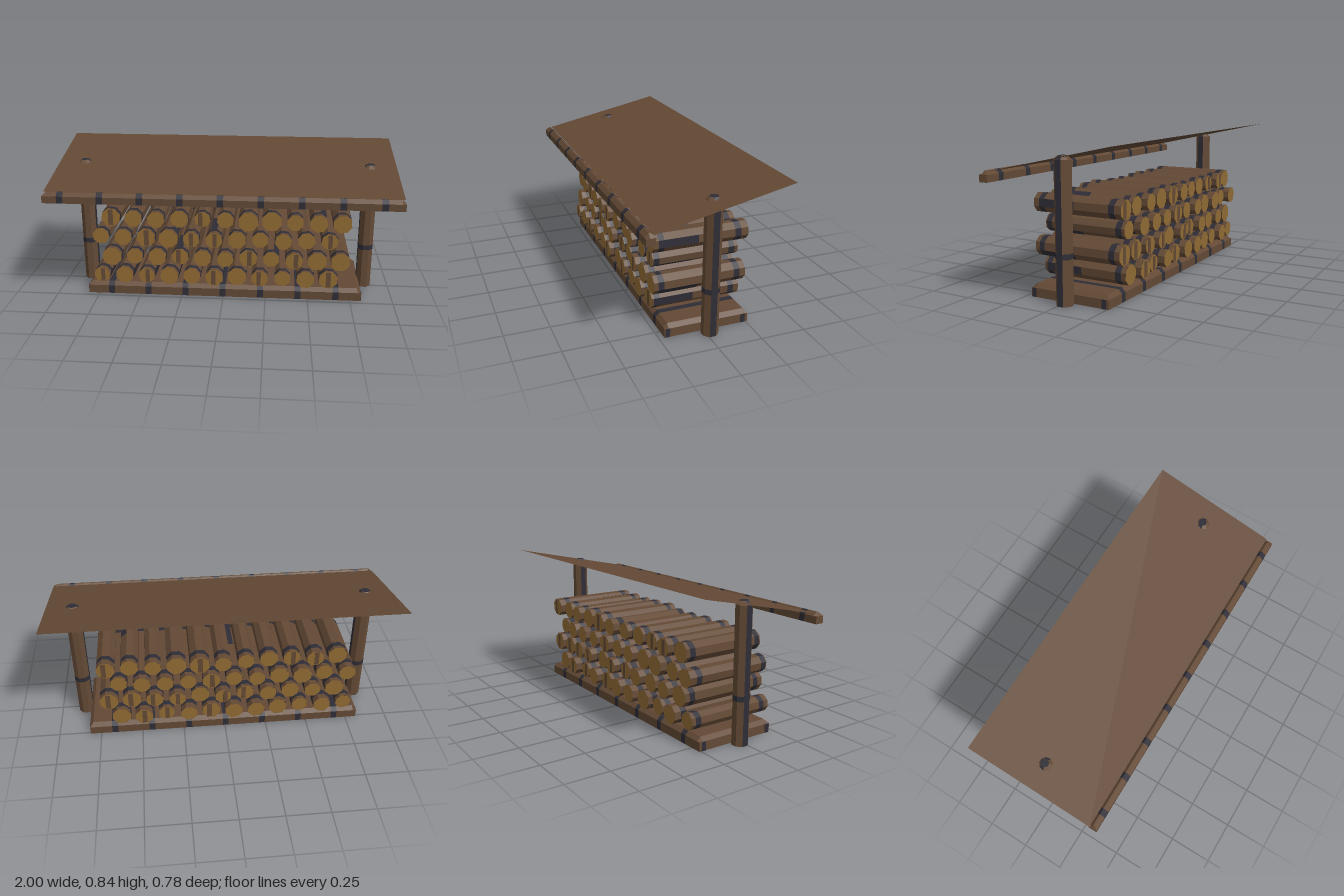
import * as THREE from 'three';

const brown = new THREE.MeshStandardMaterial({ color: 0x634935, flatShading: true, side: THREE.DoubleSide });
brown.name = 'bark brown';
const dark = new THREE.MeshStandardMaterial({ color: 0x2e2d36, flatShading: true, side: THREE.DoubleSide });
dark.name = 'dark slate';
const tan = new THREE.MeshStandardMaterial({ color: 0x906a33, flatShading: true });
tan.name = 'cut wood';

const MID = -0.02; // depth centre of base, posts and logs

let seed = 7;
const rand = () => (seed = (seed * 16807) % 2147483647) / 2147483647;

function add(parent, name, geometry, material, x = 0, y = 0, z = 0) {
  const mesh = new THREE.Mesh(geometry, material);
  mesh.name = name;
  mesh.position.set(x, y, z);
  parent.add(mesh);
  return mesh;
}

// Geometry from a list of four-cornered faces
function quads(list) {
  const pos = [];
  for (const [a, b, c, d] of list) pos.push(...a, ...b, ...c, ...a, ...c, ...d);
  const g = new THREE.BufferGeometry();
  g.setAttribute('position', new THREE.Float32BufferAttribute(pos, 3));
  g.computeVertexNormals();
  return g;
}

// Beam with chamfered top and open underside, crossed by dark bands
function bandedBeam(name, halfX, halfZ, wall, height, chamfer, bands) {
  const group = new THREE.Group();
  group.name = name;
  const section = (x, top) => [
    [x, 0, halfZ], [x, wall, halfZ], [x, top, halfZ - chamfer],
    [x, top, chamfer - halfZ], [x, wall, -halfZ], [x, 0, -halfZ]];
  const inner = halfX - chamfer;
  const cuts = [-inner];
  for (let k = -bands; k <= bands; k++) {
    const x = k * 0.2235 - 0.005;
    cuts.push(x - 0.018, x + 0.018);
  }
  cuts.push(inner);
  const sections = [section(-halfX, wall), ...cuts.map(x => section(x, height)), section(halfX, wall)];
  const plain = [], banded = [];
  for (let i = 0; i < sections.length - 1; i++) {
    const s = sections[i], t = sections[i + 1];
    const isBand = i >= 2 && i < sections.length - 2 && i % 2 === 0;
    for (let j = 0; j < 5; j++) (isBand ? banded : plain).push([s[j], t[j], t[j + 1], s[j + 1]]);
  }
  const e = sections[sections.length - 1], f = sections[0];
  plain.push([e[0], e[5], e[4], e[1]], [f[5], f[0], f[1], f[4]]);
  add(group, name + 'Wood', quads(plain), brown);
  add(group, name + 'Bands', quads(banded), dark);
  return group;
}

// Eight-sided column whose two side facets are dark
function column(rTop, rBottom, height) {
  const g = new THREE.CylinderGeometry(rTop, rBottom, height, 8, 1, true, Math.PI / 8);
  g.clearGroups();
  for (let k = 0; k < 8; k++) g.addGroup(k * 6, 6, k === 1 || k === 5 ? 1 : 0);
  return g;
}

function post(side) {
  const group = new THREE.Group();
  group.name = side > 0 ? 'leftPost' : 'rightPost';
  group.position.set(side * 0.85, 0, MID);
  add(group, 'postShaft', column(0.0465, 0.0465, 0.75), [brown, dark], 0, 0.375);
  add(group, 'postChamfer', column(0.025, 0.0465, 0.02), [brown, dark], 0, 0.76);
  for (const [y, name] of [[0.77, 'postTop'], [0, 'postFoot']]) {
    const cap = new THREE.CircleGeometry(y ? 0.025 : 0.0465, 8, Math.PI / 8);
    cap.rotateX(y ? -Math.PI / 2 : Math.PI / 2);
    add(group, name, cap, y ? dark : brown, 0, y);
  }
  // short dark mark around the shaft
  add(group, 'postMark', new THREE.CylinderGeometry(0.0475, 0.0475, 0.03, 8, 1, true, Math.PI / 8), dark, 0, 0.26);
  return group;
}

// Log along z: bark, two dark rings, pale cut ends, sometimes a cracked stripe
function log(x, y, r, lowest) {
  const group = new THREE.Group();
  group.name = 'log';
  const turn = Math.PI / 8 + (rand() - 0.5) * 0.35;
  group.position.set(x, y, 0);
  const front = 0.225 + rand() * 0.03, back = -0.262 - rand() * 0.03;
  const stops = [back, -0.245, -0.21, 0.19, 0.222, front];
  for (let i = 0; i < 5; i++) {
    const len = stops[i + 1] - stops[i];
    const g = new THREE.CylinderGeometry(r, r, len, 8, 1, true, turn).rotateX(Math.PI / 2);
    add(group, i % 2 ? 'logRing' : 'logBark', g, i % 2 ? dark : brown, 0, 0, stops[i] + len / 2);
  }
  // dark lengthwise facet
  if (lowest || rand() < 0.3) {
    const k = lowest ? 1 : Math.floor(rand() * 8);
    const g = new THREE.CylinderGeometry(r + 0.001, r + 0.001, 0.2, 1, 1, true, turn + k * Math.PI / 4, Math.PI / 4);
    add(group, 'logStreak', g.rotateX(Math.PI / 2), dark, 0, 0, 0.1);
  }
  for (const s of [1, -1]) {
    const z = s > 0 ? front : back;
    const cap = new THREE.CircleGeometry(r, 8, turn - Math.PI / 2);
    const face = add(group, 'logEnd', cap, tan, 0, 0, z);
    if (s < 0) face.rotation.set(0, Math.PI, 0);
    if (rand() < 0.38) {
      const off = (rand() - 0.5) * r * 0.5;
      add(group, 'logEndStripe', new THREE.BoxGeometry(r * 0.5, r * 1.66, 0.002), brown, off, 0, z + s * 0.001);
    }
  }
  return group;
}

export function createModel() {
  const model = new THREE.Group();
  model.name = 'firewoodShelter';

  // Base tray
  const base = bandedBeam('base', 0.815, 0.24, 0.05, 0.072, 0.022, 3);
  base.position.z = MID;
  for (const s of [1, -1]) for (const z of [0.222, -0.212])
    add(base, 'baseEndMark', new THREE.BoxGeometry(0.004, 0.05, 0.026), dark, s * 0.815, 0.025, z);
  model.add(base);

  // Posts
  model.add(post(1), post(-1));

  // Roof sheet and the beam along its front edge
  add(model, 'roof', quads([[[-1, 0.68, 0.35], [1, 0.68, 0.35], [1, 0.84, -0.39], [-1, 0.84, -0.39]]]), brown);
  const beam = bandedBeam('roofBeam', 1, 0.025, 0.04, 0.06, 0.021, 4);
  beam.position.set(0, 0.625, 0.366);
  model.add(beam);

  // Four staggered rows of logs; radii in thousandths
  const rows = [
    [48, 53, 49, 56, 52, 54, 57, 51, 49, 54, 57],
    [58, 49, 54, 51, 52, 49, 55, 49, 52, 57, 57],
    [51, 52, 57, 58, 49, 50, 54, 49, 50, 52, 50],
    [57, 52, 51, 54, 49, 50, 59, 59, 49, 53, 55]];
  const pile = new THREE.Group();
  pile.name = 'logPile';
  rows.forEach((row, j) => row.forEach((r, i) =>
    pile.add(log((j % 2 ? -0.655 : -0.72) + i * 0.1337, 0.137 + j * 0.118, r / 1000, j === 0))));
  model.add(pile);
  return model;
}
